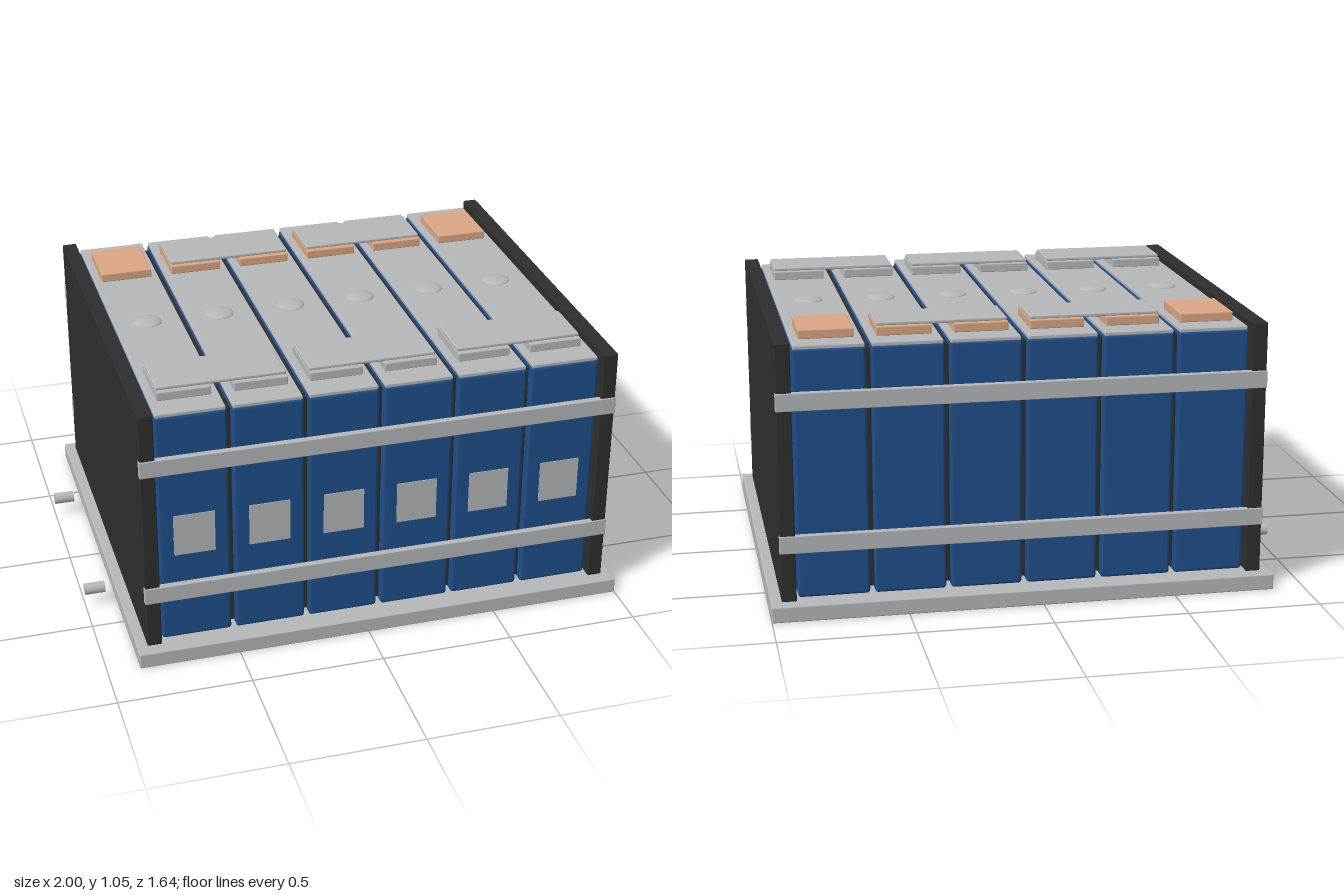
import * as THREE from 'three';
import { RoundedBoxGeometry } from 'three/addons/geometries/RoundedBoxGeometry.js';

const material = (name, color) => {
  const m = new THREE.MeshStandardMaterial({ color });
  m.name = name;
  return m;
};

export function createModel() {
  const steel = material('brushed steel', 0xb5b7b9);
  const blue = material('cell blue', 0x1f4e8c);
  const dark = material('dark plastic', 0x2e2e2e);
  const copper = material('copper', 0xd9a583);

  const model = new THREE.Group();
  model.name = 'batteryModule';

  const add = (name, geometry, mat, x, y, z, parent = model) => {
    const mesh = new THREE.Mesh(geometry, mat);
    mesh.name = name;
    mesh.position.set(x, y, z);
    parent.add(mesh);
    return mesh;
  };
  const box = (w, h, d) => new THREE.BoxGeometry(w, h, d);
  const rounded = (w, h, d, r) => new RoundedBoxGeometry(w, h, d, 2, r);

  const midX = 0.06;      // centre of the pack; the ports stick out on one side
  const pitch = 0.282;    // distance between cells
  const cellX = i => midX + (i - 2.5) * pitch;

  // Base tray and end plates
  add('baseTray', rounded(1.88, 0.06, 1.64, 0.005), steel, midX, 0.03, 0);
  for (const s of [-1, 1]) {
    add('endPlate', rounded(0.055, 0.96, 1.54, 0.004), dark, midX + s * 0.8725, 0.54, 0);
  }

  // Shared cell geometry
  const bodyGeo = rounded(0.264, 0.93, 1.484, 0.012);
  const lidGeo = rounded(0.256, 0.016, 1.476, 0.004);
  const labelGeo = box(0.154, 0.165, 0.004);
  const terminalGeo = rounded(0.2, 0.034, 0.24, 0.004);
  const ventGeo = new THREE.SphereGeometry(0.055, 32, 8, 0, Math.PI * 2, 0, Math.PI / 2);
  ventGeo.scale(1, 0.27, 1);

  // Cells with lid, label, vent and two terminals
  for (let i = 0; i < 6; i++) {
    const cell = new THREE.Group();
    cell.name = 'cell';
    cell.position.x = cellX(i);
    model.add(cell);
    add('cellBody', bodyGeo, blue, 0, 0.527, 0, cell);
    add('cellLid', lidGeo, steel, 0, 0.995, 0, cell);
    add('cellLabel', labelGeo, steel, 0, 0.502, 0.743, cell);
    add('vent', ventGeo, steel, 0, 1.002, 0, cell);
    add('frontTerminal', terminalGeo, steel, 0, 1.019, 0.52, cell);
    add('backTerminal', terminalGeo, copper, 0, 1.019, -0.52, cell);
  }

  // Thin spacers between neighbouring cells
  for (let i = 0; i < 5; i++) {
    add('spacer', box(0.02, 0.9, 1.42), dark, cellX(i + 0.5), 0.53, 0);
  }

  // Busbars join pairs of cells in series, staggered front to back
  const busbarGeo = rounded(0.48, 0.014, 0.2, 0.005);
  for (const i of [0, 2, 4]) add('frontBusbar', busbarGeo, steel, cellX(i + 0.5), 1.041, 0.52);
  for (const i of [1, 3]) add('backBusbar', busbarGeo, steel, cellX(i + 0.5), 1.041, -0.52);

  // Straps across the front and back
  const strapGeo = rounded(1.805, 0.066, 0.026, 0.003);
  for (const s of [-1, 1]) {
    for (const y of [0.277, 0.807]) add('strap', strapGeo, steel, midX, y, s * 0.762);
  }

  // Coolant ports
  const portGeo = new THREE.CylinderGeometry(0.022, 0.022, 0.078, 24);
  portGeo.rotateZ(Math.PI / 2);
  for (const s of [-1, 1]) add('coolantPort', portGeo, steel, -0.961, 0.073, s * 0.351);

  return model;
}
